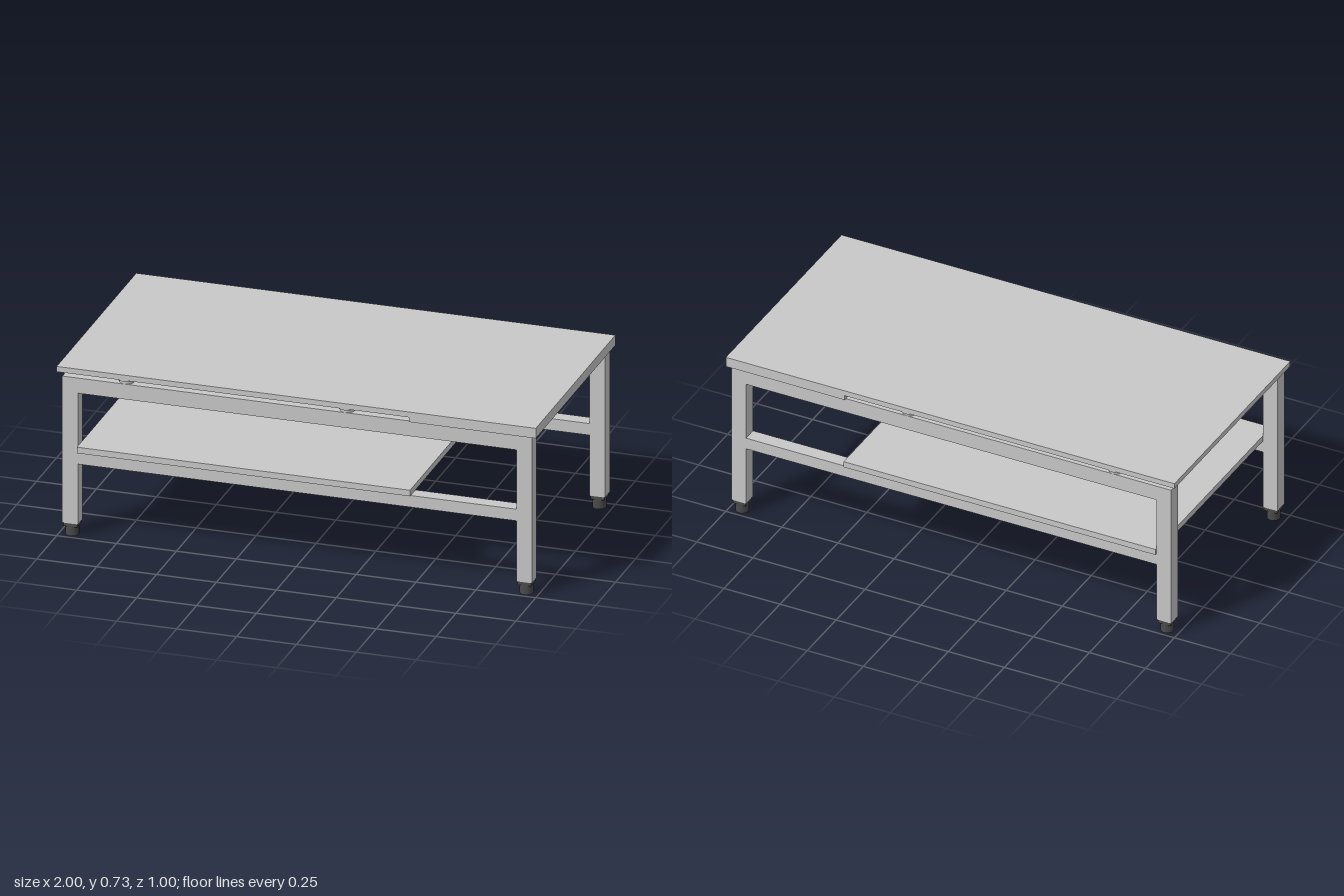
import * as THREE from 'three';

export function createModel() {
  const model = new THREE.Group();
  model.name = 'workTable';

  const lightGrey = new THREE.MeshStandardMaterial({ color: 0xc8c8c8 });
  lightGrey.name = 'light grey';
  const darkGrey = new THREE.MeshStandardMaterial({ color: 0x4b4b4b });
  darkGrey.name = 'dark grey';

  const add = (name, geometry, material, parent = model) => {
    const mesh = new THREE.Mesh(geometry, material);
    mesh.name = name;
    parent.add(mesh);
    return mesh;
  };

  // Box given by its minimum and maximum on each axis
  const box = (name, [x0, x1], [y0, y1], [z0, z1], material, parent) => {
    const mesh = add(name, new THREE.BoxGeometry(x1 - x0, y1 - y0, z1 - z0), material, parent);
    mesh.position.set((x0 + x1) / 2, (y0 + y1) / 2, (z0 + z1) / 2);
    return mesh;
  };

  // Upright cylinder between two heights
  const post = (name, radius, x, y0, y1, z, material, parent) => {
    const mesh = add(name, new THREE.CylinderGeometry(radius, radius, y1 - y0, 32), material, parent);
    mesh.position.set(x, (y0 + y1) / 2, z);
    return mesh;
  };

  // Table top: thin over most of its length, thick at the left end (L-shaped section)
  const section = new THREE.Shape([
    [-1, 0.705], [0.47, 0.705], [0.47, 0.685], [1, 0.685], [1, 0.728], [-1, 0.728],
  ].map(([x, y]) => new THREE.Vector2(x, y)));
  const top = new THREE.ExtrudeGeometry(section, { depth: 1, bevelEnabled: false });
  top.translate(0, 0, -0.5);
  add('tableTop', top, lightGrey);

  // Lower shelf, stopping short of the left end
  box('shelf', [-0.915, 0.475], [0.366, 0.392], [-0.5, 0.5], lightGrey);

  // Front and back frames
  for (const side of [1, -1]) {
    const frame = new THREE.Group();
    frame.name = side > 0 ? 'frontFrame' : 'backFrame';
    model.add(frame);
    const z = side * 0.459;
    const depth = [z - 0.0305, z + 0.0305];

    box('upperRail', [-0.915, 0.915], [0.62, 0.685], depth, lightGrey, frame);
    box('lowerRail', [-0.915, 0.915], [0.315, 0.365], depth, lightGrey, frame);

    // Legs with a square plug and a round foot
    for (const end of [1, -1]) {
      const x = end * 0.9475;
      box('leg', [x - 0.0325, x + 0.0325], [0.055, 0.685], depth, lightGrey, frame);
      box('legPlug', [x - 0.028, x + 0.028], [0.04, 0.055], [z - 0.028, z + 0.028], darkGrey, frame);
      post('foot', 0.027, x, 0, 0.04, z, darkGrey, frame);
    }

    // Spacers carrying the thin part of the top
    for (const x of [-0.72, 0.2]) {
      post('spacerFlange', 0.04, x, 0.699, 0.705, z, lightGrey, frame);
      post('spacer', 0.03, x, 0.685, 0.699, z, lightGrey, frame);
    }
  }

  return model;
}
